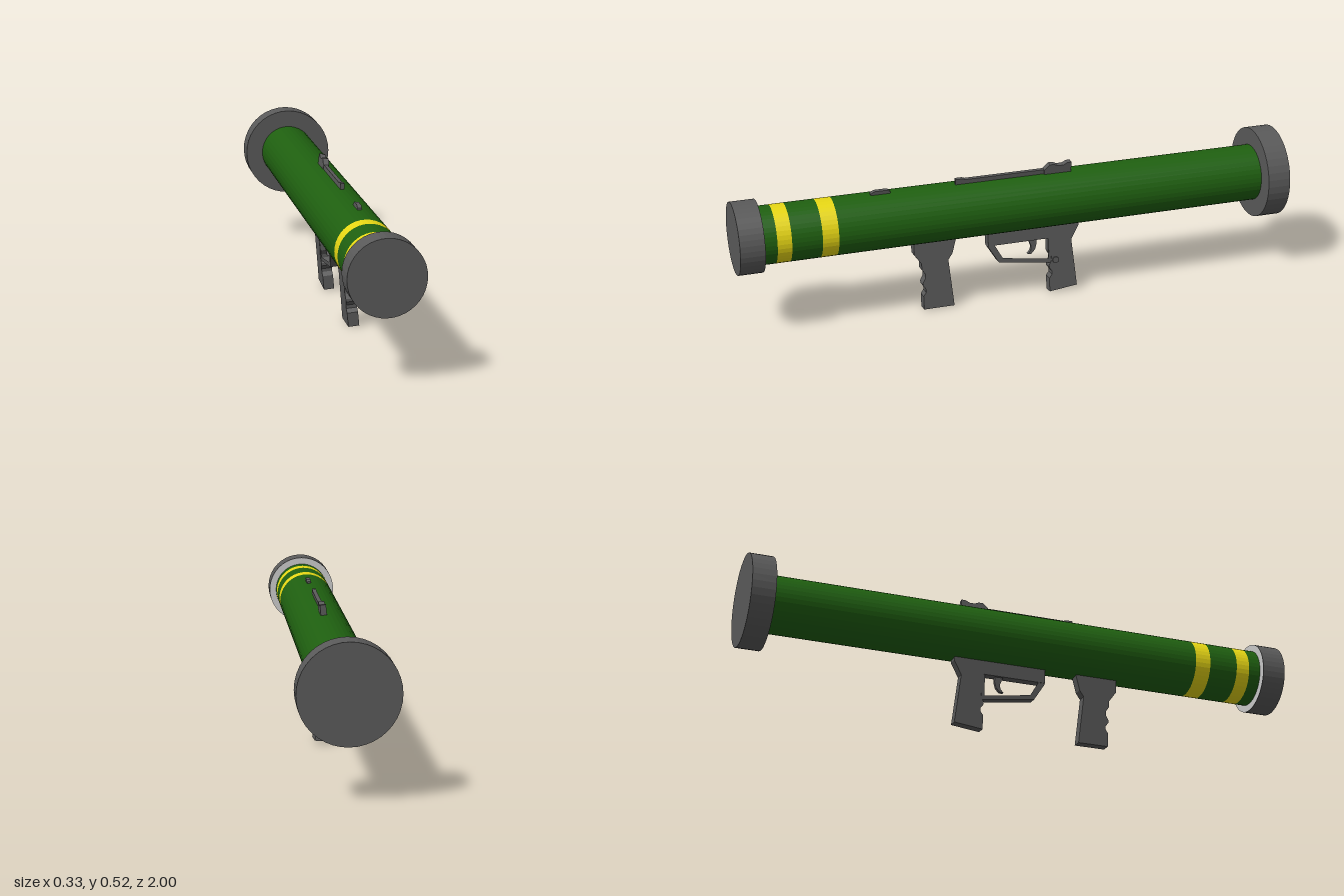
import * as THREE from 'three';

const AXIS = 0.352; // height of the tube's centre line
const SIDES = 40;

const mat = (color) => new THREE.MeshStandardMaterial({ color, flatShading: true });

export function createModel() {
  const model = new THREE.Group();
  const green = mat(0x1f6010), yellow = mat(0xe8d814), dark = mat(0x5a5a5a);
  const light = mat(0xcccccc);

  const add = (parent, name, geometry, material) => {
    const mesh = new THREE.Mesh(geometry, material);
    mesh.name = name;
    parent.add(mesh);
    return mesh;
  };

  // Cylinder along z between two stations
  const drum = (name, z0, z1, radius, material, open = false) => {
    const g = new THREE.CylinderGeometry(radius, radius, z1 - z0, SIDES, 1, open);
    g.rotateX(Math.PI / 2).translate(0, AXIS, (z0 + z1) / 2);
    return add(model, name, g, material);
  };

  // Side outline of [z, y] points, given a thickness along x
  const plate = (parent, name, outline, width, x, holes = []) => {
    const points = (list) => list.map(([z, y]) => new THREE.Vector2(z, y - AXIS));
    const shape = new THREE.Shape(points(outline));
    holes.forEach((h) => shape.holes.push(new THREE.Path(points(h))));
    const g = new THREE.ExtrudeGeometry(shape, { depth: width, bevelEnabled: false });
    g.translate(0, 0, -width / 2).rotateY(-Math.PI / 2).translate(x, 0, 0);
    return add(parent, name, g, dark);
  };

  // Tube with two painted bands
  const stations = [-0.92, 0.655, 0.712, 0.818, 0.868, 0.915];
  for (let i = 0; i < stations.length - 1; i++) {
    const band = i % 2 === 1;
    drum(band ? 'paintBand' : 'tube', stations[i], stations[i + 1], 0.102, band ? yellow : green, true);
  }

  // End caps, the front one with a pale ring behind it
  drum('rearCap', -1, -0.916, 0.165, dark);
  drum('frontCap', 0.914, 1, 0.127, dark);
  const ring = new THREE.RingGeometry(0.1, 0.127, SIDES);
  ring.rotateY(Math.PI).translate(0, AXIS, 0.912);
  add(model, 'frontCapRing', ring, light);

  // Grips lean slightly about the tube axis
  const under = new THREE.Group();
  under.name = 'gripAssembly';
  under.position.y = AXIS;
  under.rotation.z = 0.094;
  model.add(under);
  const GX = -0.009, GW = 0.038;

  plate(under, 'frontGrip', [
    [0.372, 0.275], [0.372, 0.208], [0.347, 0.172], [0.347, 0.15], [0.335, 0.132],
    [0.335, 0.118], [0.345, 0.1], [0.345, 0.09], [0.335, 0.076], [0.335, 0.064],
    [0.345, 0.05], [0.345, 0.001], [0.233, 0.001], [0.249, 0.175], [0.233, 0.197],
    [0.218, 0.25], [0.218, 0.275],
  ], GW, GX);

  plate(under, 'rearGrip', [
    [0.1, 0.275], [0.1, 0.204], [-0.128, 0.204], [-0.126, 0.15], [-0.136, 0.132],
    [-0.136, 0.12], [-0.126, 0.102], [-0.126, 0.092], [-0.136, 0.078], [-0.136, 0.066],
    [-0.126, 0.052], [-0.126, 0.001], [-0.23, 0.013], [-0.212, 0.19], [-0.24, 0.24],
    [-0.24, 0.275],
  ], GW, GX);

  plate(under, 'triggerGuard', [
    [0.1, 0.23], [0.1, 0.2], [0.062, 0.138], [-0.135, 0.11], [-0.135, 0.204], [-0.13, 0.23],
  ], GW * 0.9, GX, [
    [[0.076, 0.204], [0.047, 0.152], [-0.124, 0.126], [-0.124, 0.204]],
  ]);

  plate(under, 'trigger', [
    [-0.05, 0.215], [-0.064, 0.178], [-0.062, 0.163], [-0.05, 0.15],
    [-0.064, 0.15], [-0.078, 0.165], [-0.084, 0.185], [-0.084, 0.215],
  ], 0.014, GX);

  // Small catch on the left of the rear grip
  const catchGeo = new THREE.CylinderGeometry(0.012, 0.012, 0.008, 8);
  catchGeo.rotateZ(Math.PI / 2).translate(GX + GW / 2 + 0.002, 0.12 - AXIS, -0.15);
  add(under, 'gripCatch', catchGeo, dark);

  // Sights lean the other way along the top of the tube
  const over = new THREE.Group();
  over.name = 'sightAssembly';
  over.position.y = AXIS;
  over.rotation.z = -0.09;
  model.add(over);

  plate(over, 'sightRail', [
    [0.215, 0.445], [0.215, 0.474], [0.19, 0.474], [0.18, 0.47], [-0.14, 0.47], [-0.14, 0.445],
  ], 0.014, -0.002);

  plate(over, 'rearSight', [
    [-0.11, 0.445], [-0.11, 0.47], [-0.13, 0.489], [-0.145, 0.489], [-0.16, 0.482],
    [-0.18, 0.482], [-0.195, 0.49], [-0.21, 0.49], [-0.21, 0.445],
  ], 0.021, 0);

  plate(over, 'frontSight', [
    [0.52, 0.445], [0.52, 0.46], [0.505, 0.467], [0.46, 0.467], [0.45, 0.46], [0.45, 0.445],
  ], 0.015, -0.002);

  return model;
}
